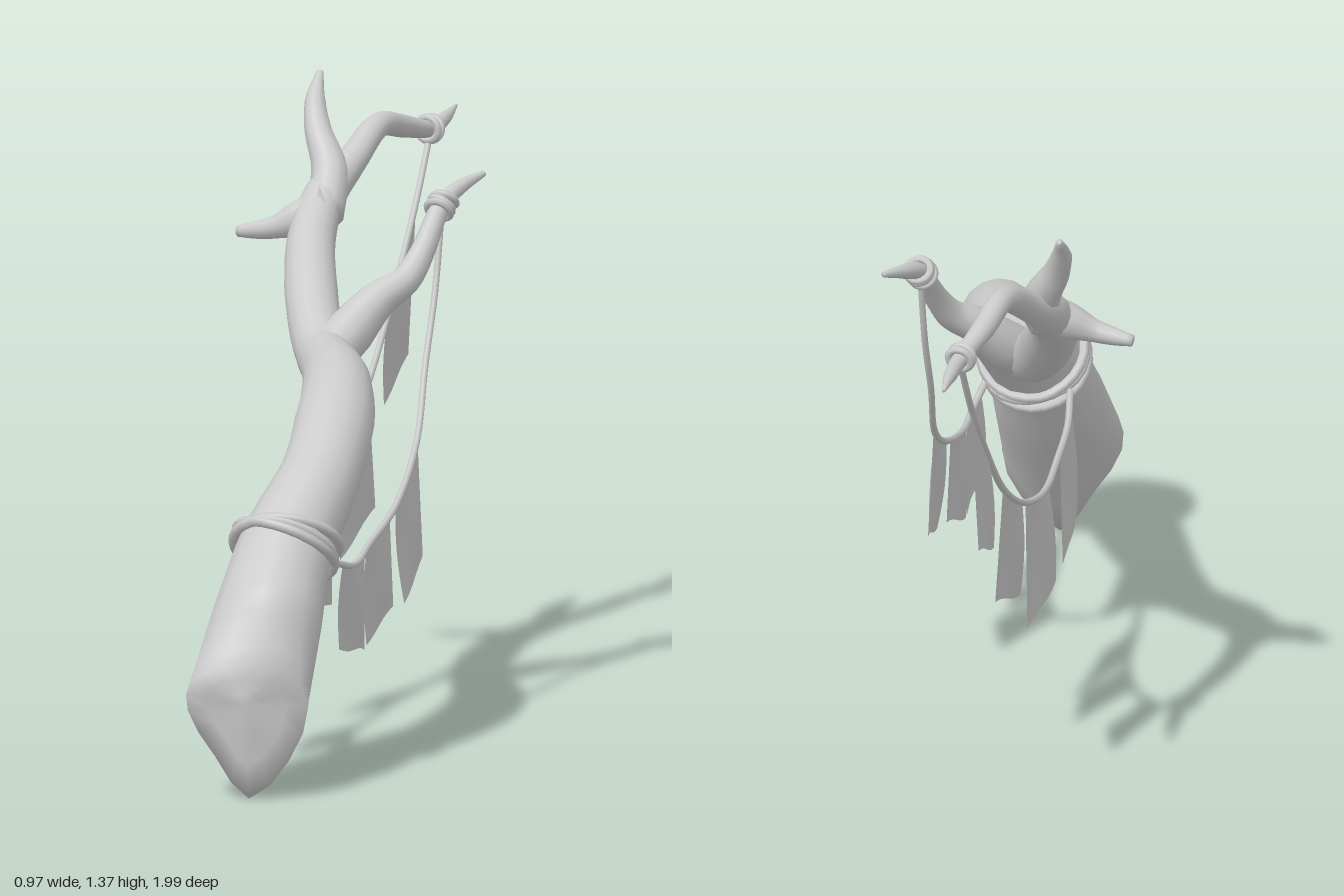
import * as THREE from 'three';

const V = (p) => new THREE.Vector3(p[0], p[1], p[2]);
const wood = new THREE.MeshStandardMaterial({ color: 0xcccccc });
const cloth = new THREE.MeshStandardMaterial({ color: 0xcccccc, side: THREE.DoubleSide });

function addMesh(parent, name, geometry, material = wood) {
  const mesh = new THREE.Mesh(geometry, material);
  mesh.name = name;
  parent.add(mesh);
  return mesh;
}

// Tapered limb through points [x, y, z, radius]; an optional closed outline and apex form a rounded cut end
function limb(points, steps, sides, cutOutline, cutApex) {
  const curve = new THREE.CatmullRomCurve3(points.map(V));
  const radius = (t) => {
    const f = t * (points.length - 1);
    const i = Math.min(Math.floor(f), points.length - 2);
    return THREE.MathUtils.lerp(points[i][3], points[i + 1][3], f - i);
  };
  const rings = [];
  const normal = new THREE.Vector3(1, 0, 0);
  for (let i = 0; i <= steps; i++) {
    const t = i / steps;
    const c = curve.getPoint(t), d = curve.getTangent(t), r = radius(t);
    normal.addScaledVector(d, -normal.dot(d)).normalize();
    const side = new THREE.Vector3().crossVectors(d, normal);
    rings.push(Array.from({ length: sides }, (_, j) => {
      const a = (j / sides) * Math.PI * 2;
      return c.clone().addScaledVector(normal, Math.cos(a) * r).addScaledVector(side, Math.sin(a) * r);
    }));
  }
  // Blend from the first round ring to the cut outline, then close to the apex
  if (cutOutline) {
    const loop = new THREE.CatmullRomCurve3(cutOutline.map(V), true);
    const first = rings[0];
    for (const f of [0.75, 0.5, 0.25, 0]) {
      rings.unshift(first.map((p, j) => loop.getPoint(j / sides).lerp(p, f)));
    }
    const rim = rings[0], apex = V(cutApex);
    for (const f of [0.35, 0.7]) rings.unshift(rim.map((p) => p.clone().lerp(apex, f)));
  }
  const verts = [...rings.flat(), V(cutApex ?? points[0]), curve.getPoint(1)];
  const last = (rings.length - 1) * sides, end = rings.length * sides;
  const index = [];
  for (let j = 0; j < sides; j++) {
    const k = (j + 1) % sides;
    for (let i = 0; i < last; i += sides) {
      index.push(i + j, i + k, i + k + sides, i + j, i + k + sides, i + j + sides);
    }
    index.push(k, j, end, last + j, last + k, end + 1);
  }
  const g = new THREE.BufferGeometry().setFromPoints(verts);
  g.setIndex(index);
  g.computeVertexNormals();
  return g;
}

// Rope rings wound round a limb, each slightly tilted
function binding(parent, name, center, axis, radius, tube, count, gap) {
  const group = new THREE.Group();
  group.name = name;
  for (let i = 0; i < count; i++) {
    const ring = addMesh(group, 'ropeRing', new THREE.TorusGeometry(radius, tube, 6, 24));
    ring.position.z = (i - (count - 1) / 2) * gap;
    ring.rotation.set(0.1 * (i - 0.5), 0.12 * (i % 2 ? 1 : -1), 0);
  }
  group.position.copy(V(center));
  group.quaternion.setFromUnitVectors(new THREE.Vector3(0, 0, 1), V(axis).normalize());
  parent.add(group);
}

// Point on a rope at a given depth z
function pointAtZ(curve, z) {
  let lo = 0, hi = 1;
  for (let i = 0; i < 30; i++) {
    const mid = (lo + hi) / 2;
    if (curve.getPoint(mid).z < z) lo = mid; else hi = mid;
  }
  return curve.getPoint(lo);
}

// Cloth hanging from the rope between z0 and z1; bottom height and sideways drift at each end
function flagGeometry(curve, [z0, z1, y0, y1, drift0, drift1]) {
  const g = new THREE.PlaneGeometry(1, 1, 6, 6);
  const p = g.attributes.position;
  const { lerp } = THREE.MathUtils;
  for (let i = 0; i < p.count; i++) {
    const u = p.getX(i) + 0.5, v = 0.5 - p.getY(i);
    const top = pointAtZ(curve, lerp(z0, z1, u));
    const bottom = lerp(y0, y1, u) + 0.004 * Math.sin(u * Math.PI * 2);
    const wave = 0.008 * Math.sin(v * Math.PI) * Math.sin(u * 5);
    p.setXYZ(i, top.x + wave + v * lerp(drift0, drift1, u), lerp(top.y, bottom, v), top.z);
  }
  g.computeVertexNormals();
  return g;
}

export function createModel() {
  const model = new THREE.Group();
  model.name = 'branchWithBunting';

  // Main branch, from the slanted cut end to the far tip
  addMesh(model, 'mainBranch', limb([
    [0.34, 0.38, 0.79, 0.124], [0.3, 0.52, 0.67, 0.106], [0.272, 0.655, 0.51, 0.09],
    [0.198, 0.755, 0.355, 0.089], [0.095, 0.808, 0.21, 0.077], [0.0, 0.825, 0.11, 0.066],
    [-0.08, 0.84, 0.035, 0.06], [-0.145, 0.888, -0.025, 0.06], [-0.205, 0.95, -0.09, 0.06],
    [-0.28, 1.04, -0.19, 0.054], [-0.325, 1.12, -0.3, 0.048], [-0.335, 1.18, -0.41, 0.034],
    [-0.36, 1.24, -0.54, 0.028], [-0.385, 1.22, -0.66, 0.026], [-0.4, 1.195, -0.78, 0.019],
    [-0.44, 1.2, -0.89, 0.015], [-0.485, 1.21, -0.99, 0.004],
  ], 80, 16, [
    [0.482, 0.21, 0.825], [0.458, 0.09, 0.865], [0.385, 0.005, 0.915], [0.32, 0.1, 0.955],
    [0.268, 0.2, 0.985], [0.285, 0.27, 0.998], [0.365, 0.3, 0.965], [0.455, 0.3, 0.88],
  ], [0.4, 0.22, 0.95]));

  // Side branches
  addMesh(model, 'sideBranch', limb([
    [-0.05, 0.82, 0.07, 0.055], [-0.045, 0.88, -0.02, 0.056], [-0.02, 0.945, -0.09, 0.043],
    [0.012, 0.985, -0.15, 0.034], [0.02, 1.04, -0.2, 0.028], [0.01, 1.135, -0.285, 0.021],
    [0.005, 1.165, -0.36, 0.017], [0.01, 1.185, -0.44, 0.007],
  ], 28, 10));
  addMesh(model, 'upperTwig', limb([
    [-0.3, 1.08, -0.26, 0.045], [-0.335, 1.17, -0.33, 0.042], [-0.39, 1.25, -0.36, 0.031],
    [-0.425, 1.31, -0.395, 0.023], [-0.45, 1.365, -0.445, 0.008],
  ], 16, 10));
  addMesh(model, 'shortTwig', limb([
    [-0.295, 1.1, -0.27, 0.05], [-0.345, 1.075, -0.23, 0.042], [-0.39, 1.055, -0.205, 0.027],
    [-0.44, 1.045, -0.19, 0.02], [-0.478, 1.04, -0.18, 0.013],
  ], 12, 10));

  // Rope wound round the trunk and the two branch tips
  binding(model, 'trunkBinding', [0.298, 0.53, 0.665], [-0.06, 0.45, -0.38], 0.116, 0.012, 3, 0.014);
  binding(model, 'sideBranchKnot', [0.01, 1.135, -0.285], [-0.05, 0.6, -0.7], 0.027, 0.009, 3, 0.014);
  binding(model, 'tipKnot', [-0.4, 1.195, -0.78], [-0.2, -0.1, -1], 0.026, 0.009, 2, 0.016);

  // Two sagging ropes with their flags
  const lines = [
    {
      name: 'longRope',
      path: [[-0.4, 1.175, -0.78], [-0.37, 1.04, -0.69], [-0.305, 0.84, -0.51], [-0.25, 0.7, -0.36],
        [-0.148, 0.55, -0.1], [-0.075, 0.49, 0.1], [0.037, 0.462, 0.34], [0.11, 0.468, 0.5], [0.178, 0.49, 0.62]],
      flags: [[-0.695, -0.5, 0.7, 0.62, -0.022, -0.012], [-0.357, -0.13, 0.42, 0.34, 0.02, 0.005],
        [-0.095, 0.158, 0.245, 0.255, -0.005, -0.02], [0.365, 0.59, 0.195, 0.235, -0.008, -0.02]],
    },
    {
      name: 'shortRope',
      path: [[0.01, 1.12, -0.285], [0.03, 0.95, -0.235], [0.06, 0.8, -0.16], [0.12, 0.65, -0.05],
        [0.2, 0.54, 0.13], [0.27, 0.485, 0.32], [0.34, 0.465, 0.47], [0.375, 0.49, 0.59]],
      flags: [[-0.055, 0.14, 0.39, 0.32, 0.015, 0.025], [0.18, 0.35, 0.32, 0.26, 0.01, 0], [0.37, 0.54, 0.255, 0.285, 0, -0.01]],
    },
  ];
  for (const line of lines) {
    const curve = new THREE.CatmullRomCurve3(line.path.map(V));
    addMesh(model, line.name, new THREE.TubeGeometry(curve, 48, 0.008, 6));
    line.flags.forEach((flag) => addMesh(model, 'flag', flagGeometry(curve, flag), cloth));
  }

  return model;
}
